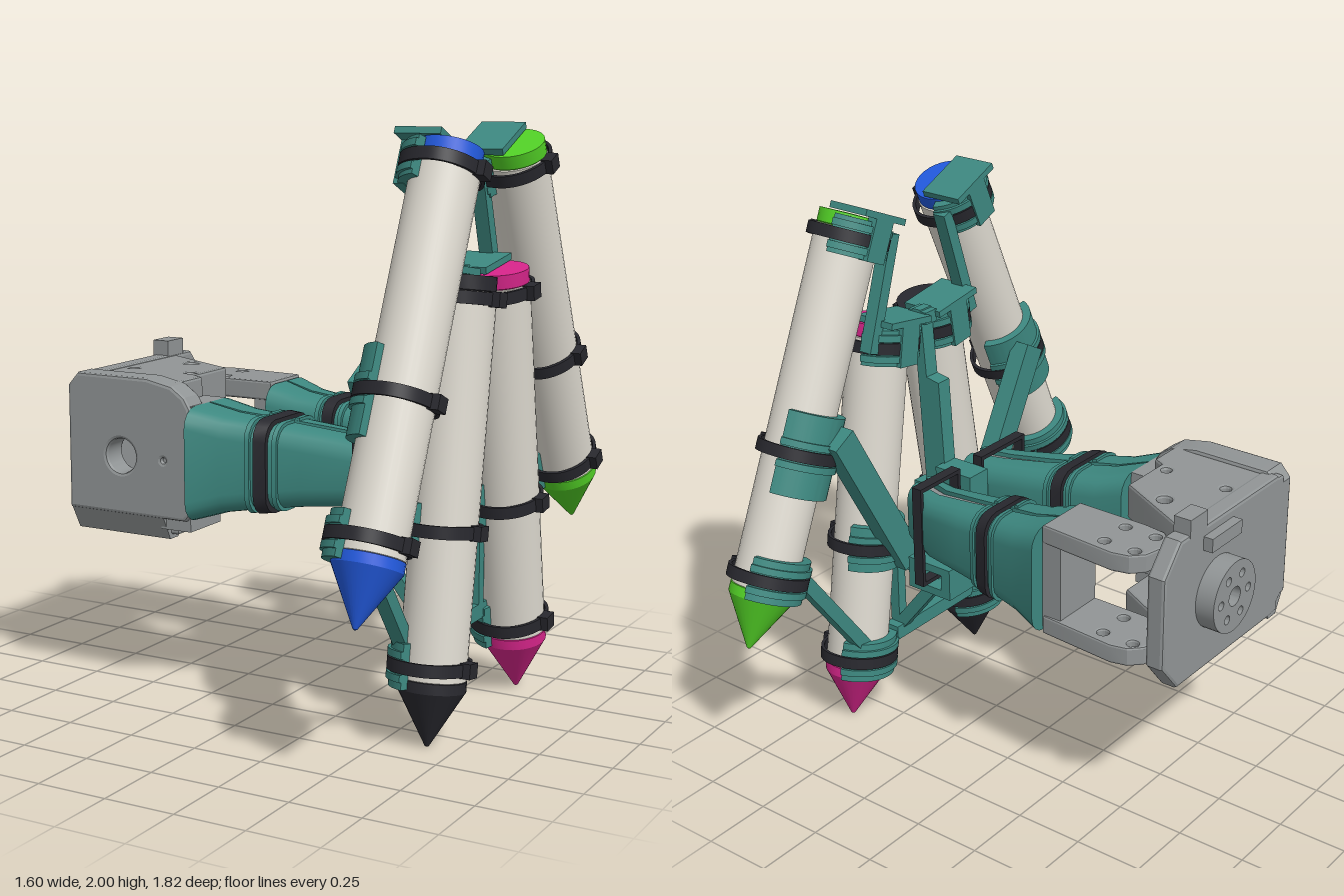
import * as THREE from 'three';
import { toCreasedNormals } from 'three/addons/utils/BufferGeometryUtils.js';

const mat = (name, color) => {
  const m = new THREE.MeshStandardMaterial({ color });
  m.name = name;
  return m;
};

export function createModel() {
  const teal = mat('teal plastic', 0x3d8880);
  const grey = mat('grey metal', 0x919596);
  const cream = mat('cream barrel', 0xdedad0);
  const black = mat('black', 0x28282e);
  const blue = mat('blue', 0x2259dc);
  const green = mat('green', 0x52d026);
  const pink = mat('magenta', 0xd6258a);

  const root = new THREE.Group();
  root.name = 'penHolderGripper';
  const add = (name, geo, material, parent = root) => {
    const m = new THREE.Mesh(geo, material);
    m.name = name;
    parent.add(m);
    return m;
  };
  // box from its min and max corners
  const box = (name, x0, x1, y0, y1, z0, z1, material, parent) =>
    add(name, new THREE.BoxGeometry(x1 - x0, y1 - y0, z1 - z0)
      .translate((x0 + x1) / 2, (y0 + y1) / 2, (z0 + z1) / 2), material, parent);
  // straight bar between two points
  const beam = (name, a, b, w, h) => {
    const p = new THREE.Vector3(...a), q = new THREE.Vector3(...b);
    const m = add(name, new THREE.BoxGeometry(w, h, p.distanceTo(q)), teal);
    m.position.copy(p).lerp(q, 0.5);
    m.lookAt(q);
  };
  const poly = (pts) => new THREE.Shape(pts.map(p => new THREE.Vector2(...p)));
  const hole = (shape, x, y, r) => {
    shape.holes.push(new THREE.Path().absarc(x, y, r, 0, Math.PI * 2, true));
    return shape;
  };
  const extrude = (shape, depth, bevel = 0) => toCreasedNormals(new THREE.ExtrudeGeometry(shape, {
    depth: depth - 2 * bevel, curveSegments: 20, bevelEnabled: bevel > 0,
    bevelSize: bevel, bevelThickness: bevel, bevelOffset: -bevel, bevelSegments: 2
  }).translate(0, 0, bevel), 0.35);
  const slabY = (shape, y0, y1, bevel) => extrude(shape, y1 - y0, bevel).rotateX(Math.PI / 2).translate(0, y1, 0);
  const slabX = (shape, x0, x1, bevel) => extrude(shape, x1 - x0, bevel).rotateY(-Math.PI / 2).translate(x1, 0, 0);

  // ---- marker pens with clamps and straps; local y runs from tip to end
  const ringShape = (rBack, rFront, rz, t) => {
    const half = (path, k) => path.absellipse(0, 0, rFront - k, rz - k, -Math.PI / 2, Math.PI / 2)
      .absellipse(0, 0, rBack - k, rz - k, Math.PI / 2, Math.PI * 1.5);
    const s = half(new THREE.Shape(), 0);
    s.holes.push(half(new THREE.Path(), t));
    return s;
  };
  const shellShape = (ri, ro) => new THREE.Shape()
    .absarc(0, 0, ro, 1.9, Math.PI * 2 - 1.9, false)
    .absarc(0, 0, ri, Math.PI * 2 - 1.9, 1.9, true);
  const lathe = (pts) => toCreasedNormals(
    new THREE.LatheGeometry(pts.map(p => new THREE.Vector2(...p)), 32), 0.4);

  function pen(name, color, z, y, angle, midLength) {
    const g = new THREE.Group();
    g.name = name;
    g.position.set(0.652, y, z);
    g.rotation.x = angle;
    root.add(g);
    add('penTip', lathe([[0, 0], [0.007, 0.003], [0.111, 0.185], [0.114, 0.19], [0.114, 0.225], [0.104, 0.228]]), color, g);
    add('penBarrel', lathe([[0.1, 0.22], [0.112, 0.228], [0.112, 1.488], [0.1, 1.49]]), cream, g);
    add('penEnd', lathe([[0.1, 1.485], [0.109, 1.493], [0.109, 1.54], [0, 1.542]]), color, g);
    [[0.27, 0.15], [0.715, midLength], [1.467, 0.13]].forEach(([d, len]) => {
      add('clampShell', slabY(shellShape(0.112, 0.142), d - len / 2, d + len / 2), teal, g);
      for (const s of [-1, 1]) {
        const e = d + s * 0.038;
        add('clampRim', slabY(shellShape(0.13, 0.152), e - 0.012, e + 0.012), teal, g);
      }
      add('strap', slabY(ringShape(0.152, 0.122, 0.15, 0.012), d - 0.021, d + 0.021), black, g);
      box('strapBuckle', 0.105, 0.145, d - 0.025, d + 0.025, -0.03, 0.03, black, g);
    });
    // stop that covers the back half of the pen end
    box('endStop', -0.152, 0.01, 1.545, 1.568, -0.105, 0.105, teal, g);
    box('endStopWall', -0.152, -0.115, 1.4, 1.55, -0.045, 0.045, teal, g);
  }
  pen('outerPenBlue', blue, 0.868, 0.53, -0.417, 0.29);
  pen('innerPenBlack', black, 0.365, 0.005, -0.154, 0.17);
  pen('innerPenMagenta', pink, -0.365, 0.005, 0.154, 0.17);
  pen('outerPenGreen', green, -0.868, 0.53, 0.417, 0.29);

  // ---- frame that carries the pens
  const mast = poly([[0.42, 0.72], [0.53, 0.72], [0.58, 1.55], [0.545, 1.55], [0.525, 1.3], [0.47, 1.29], [0.45, 0.95]]);
  add('mast', extrude(mast, 0.06).translate(0, 0, -0.03), teal);
  box('mastCap', 0.52, 0.6, 1.5, 1.545, -0.03, 0.03, teal);
  box('hubBar', 0.42, 0.6, 0.8, 0.87, -0.03, 0.03, teal);
  box('hubPlate', 0.3, 0.46, 0.66, 0.98, -0.07, 0.03, teal);
  box('middleCrossBar', 0.47, 0.53, 0.66, 0.75, -0.22, 0.22, teal);
  box('lowerCrossBar', 0.54, 0.6, 0.295, 0.35, -0.22, 0.22, teal);
  box('trayLink', 0.43, 0.58, 0.6, 0.65, -0.2, 0.2, teal);
  for (const s of [-1, 1]) {
    const tray = poly([[0.26, 0.57], [0.45, 0.57], [0.45, 0.69], [0.26, 0.69]]);
    tray.holes.push(new THREE.Path([[0.3, 0.6], [0.3, 0.66], [0.41, 0.66], [0.41, 0.6]]
      .map(p => new THREE.Vector2(...p))));
    add('fingerTray', extrude(tray, 0.18).translate(0, 0, s * 0.155 - 0.09), teal);
    beam('sideArm', [0.5, 0.65, s * 0.2], [0.5, 1.25, s * 0.53], 0.07, 0.1);
    beam('upperStrut', [0.575, 1.46, s * 0.27], [0.575, 1.86, s * 0.14], 0.05, 0.045);
    beam('lowerSideStrut', [0.575, 0.74, s * 0.67], [0.575, 0.33, s * 0.37], 0.05, 0.05);
    beam('lowerBrace', [0.36, 0.6, s * 0.165], [0.58, 0.32, s * 0.165], 0.04, 0.045);
    box('lowerPost', 0.56, 0.6, 0.32, 0.62, s * 0.165 - 0.02, s * 0.165 + 0.02, teal);
  }

  // ---- gripper fingers: lofted sleeve halves over a core
  // each station: x, centre z, half width, bottom y, top y
  const fingers = [
    [[-0.225, 0.285, 0.165, 0.665, 1.06], [-0.12, 0.25, 0.15, 0.695, 1.03], [0, 0.222, 0.14, 0.712, 1.015],
      [0.15, 0.19, 0.128, 0.728, 0.995], [0.31, 0.165, 0.12, 0.74, 0.975], [0.45, 0.15, 0.09, 0.745, 0.965]],
    [[-0.225, -0.24, 0.155, 0.665, 1.06], [-0.12, -0.235, 0.135, 0.695, 1.03], [0, -0.23, 0.12, 0.712, 1.015],
      [0.15, -0.222, 0.11, 0.728, 0.995], [0.31, -0.21, 0.1, 0.74, 0.975], [0.45, -0.16, 0.08, 0.745, 0.965]]
  ];
  // loft of closed rings, anticlockwise in (z, y)
  const loft = (rings) => {
    const n = rings[0].length, pos = [], idx = [];
    rings.forEach(r => r.forEach(p => pos.push(...p)));
    for (let i = 0; i < rings.length - 1; i++) for (let j = 0; j < n; j++) {
      const a = i * n + j, b = i * n + (j + 1) % n;
      idx.push(a, b + n, b, a, a + n, b + n);
    }
    const last = (rings.length - 1) * n;
    for (let j = 1; j < n - 1; j++) idx.push(0, j, j + 1, last, last + j + 1, last + j);
    const g = new THREE.BufferGeometry();
    g.setAttribute('position', new THREE.Float32BufferAttribute(pos, 3));
    g.setIndex(idx);
    return toCreasedNormals(g, 0.6);
  };
  // half of a rounded section on side s, from the gap outwards
  const halfRing = ([x, cz, hw, y0, y1], s, gap, grow = 0) => {
    const w = hw + grow, r = Math.min(0.07, w * 0.6), pts = [[gap, y0 - grow]];
    for (const [cy, a0] of [[y0 - grow + r, -Math.PI / 2], [y1 + grow - r, 0]])
      for (let k = 0; k <= 4; k++) {
        const a = a0 + k * Math.PI / 8;
        pts.push([w - r + r * Math.cos(a), cy + r * Math.sin(a)]);
      }
    pts.push([gap, y1 + grow]);
    const ring = pts.map(([z, y]) => [x, y, cz + s * z]);
    return s > 0 ? ring : ring.reverse();
  };
  const at = (stations, x) => {
    const i = Math.max(0, stations.findIndex(q => q[0] >= x) - 1);
    const a = stations[i], b = stations[i + 1], t = (x - a[0]) / (b[0] - a[0]);
    return a.map((v, k) => v + (b[k] - v) * t);
  };
  fingers.forEach((st) => {
    const g = new THREE.Group();
    g.name = 'finger';
    root.add(g);
    const band = (name, x0, x1, grow, gap, m) => {
      for (const s of [-1, 1])
        add(name, loft([x0, x1].map(x => halfRing(at(st, x), s, gap, grow))), m, g);
    };
    for (const s of [-1, 1]) {
      add('sleeveHalf', loft(st.map((q, i) => halfRing(q, s, 0.004 + 0.004 * i))), teal, g);
      add('fingerCore', loft(st.map(q => halfRing([q[0] + 0.01, q[1], 0.03, q[3] + 0.015, q[4] - 0.015], s, 0))), grey, g);
    }
    band('sleeveRidge', -0.03, -0.015, 0.01, 0.015, teal);
    band('sleeveRidge', 0.06, 0.075, 0.01, 0.015, teal);
    band('fingerStrap', 0, 0.042, 0.014, 0, black);
    // tall strap that ties the finger to the tray
    const [, cz, hw] = at(st, 0.35), w = hw + 0.015, v = w - 0.014;
    const frame = poly([[cz - w, 0.63], [cz + w, 0.63], [cz + w, 1.015], [cz - w, 1.015]]);
    frame.holes.push(new THREE.Path([[cz - v, 0.645], [cz - v, 1], [cz + v, 1], [cz + v, 0.645]]
      .map(p => new THREE.Vector2(...p))));
    add('trayStrap', slabX(frame, 0.33, 0.37), black, g);
  });

  // ---- gripper body
  const side = poly([[-0.73, 0.66], [-0.25, 0.66], [-0.225, 0.69], [-0.225, 1.05], [-0.25, 1.09],
    [-0.3, 1.125], [-0.4, 1.145], [-0.69, 1.145], [-0.73, 1.1]]);
  hole(hole(side, -0.51, 0.865, 0.06), -0.335, 0.865, 0.008);
  add('bodySide', extrude(side, 0.1, 0.012).translate(0, 0, 0.315), grey);
  // sloped lower edge of the side wall
  const slope = poly([[0.315, 0.58], [0.365, 0.58], [0.412, 0.67], [0.315, 0.67]]);
  add('bodyLowerEdge', slabX(slope, -0.725, -0.34), grey);
  box('bodyLowerCorner', -0.36, -0.24, 0.62, 0.68, 0.2, 0.39, grey);
  box('bodyFingerMount', -0.36, -0.225, 0.68, 1.06, 0.18, 0.4, grey);
  for (const [y0, y1] of [[1.0, 1.13], [0.595, 0.725]]) {
    const deck = poly([[-0.73, -0.19], [-0.66, -0.18], [-0.35, -0.02], [-0.35, 0.18], [-0.31, 0.2],
      [-0.31, 0.36], [-0.73, 0.36]]);
    hole(hole(hole(deck, -0.51, -0.04, 0.025), -0.63, 0.15, 0.018), -0.39, 0.15, 0.018);
    add('bodyDeck', slabY(deck, y0, y1, 0.01), grey);
  }
  const panel = poly([[-0.36, 0.7], [-0.27, 0.59], [0.33, 0.59], [0.4, 0.66], [0.4, 1.06],
    [0.33, 1.135], [-0.27, 1.135], [-0.36, 1.03]]);
  add('backPanel', slabX(panel, -0.73, -0.66, 0.012), grey);
  box('panelTab', -0.73, -0.665, 1.1, 1.19, -0.22, -0.12, grey);
  box('panelLip', -0.765, -0.72, 1.05, 1.1, -0.14, 0.04, grey);
  const flange = hole(new THREE.Shape().absarc(-0.045, 0.86, 0.13, 0, Math.PI * 2), -0.045, 0.86, 0.035);
  for (let i = 0; i < 6; i++) {
    const a = i * Math.PI / 3;
    hole(flange, -0.045 + 0.083 * Math.cos(a), 0.86 + 0.083 * Math.sin(a), 0.016);
  }
  add('mountFlange', slabX(flange, -0.8, -0.72), grey);

  // ---- moving jaw: two drilled plates joined by a wall
  for (const [y0, y1] of [[1.0, 1.07], [0.655, 0.725]]) {
    const plate = poly([[-0.23, -0.34], [-0.23, -0.13], [-0.5, -0.13], [-0.58, -0.14], [-0.62, -0.175],
      [-0.635, -0.24], [-0.62, -0.305], [-0.58, -0.345], [-0.52, -0.36]]);
    for (const x of [-0.575, -0.455]) for (const z of [-0.305, -0.185]) hole(plate, x, z, 0.02);
    add('jawPlate', slabY(plate, y0, y1, 0.008), grey);
  }
  box('jawWall', -0.3, -0.215, 0.68, 1.05, -0.335, -0.135, grey);

  return root;
}
